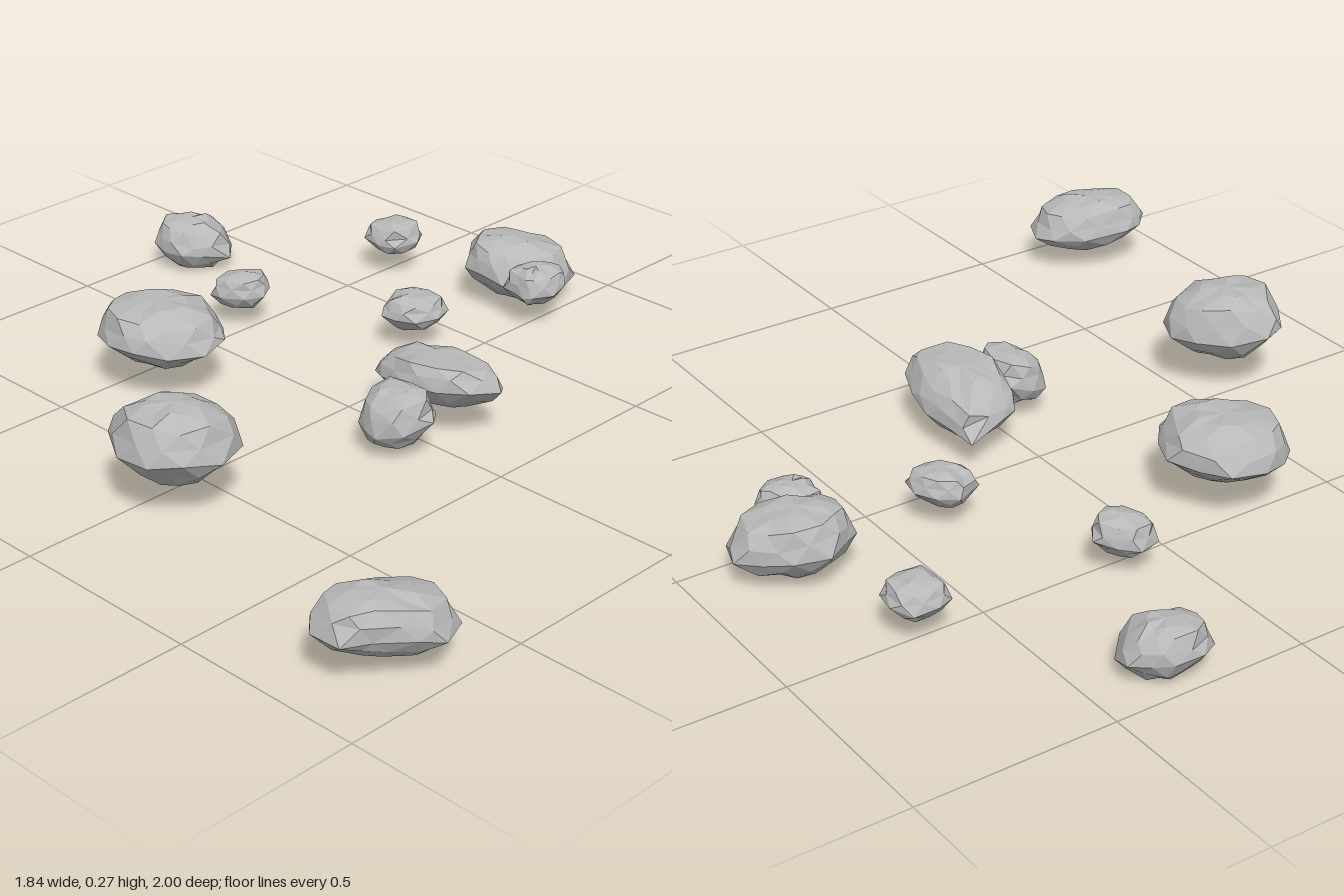
import * as THREE from 'three';

const stone = new THREE.MeshStandardMaterial({ color: 0xb8b8b8, flatShading: true });
stone.name = 'grey stone';

// Each layer: height fraction and width fraction of the rock; odd layers sit half a step round.
const LAYERS = [[0.05, 0.5], [0.22, 0.82], [0.43, 1], [0.64, 0.96], [0.84, 0.78], [0.97, 0.45]];

function seeded(seed) {
  let s = seed * 7919 + 17;
  return () => (s = (s * 16807) % 2147483647) / 2147483647;
}

// Faceted rock from its plan outline (x, z pairs, clockwise from above), height range and tilt.
function rock(name, seed, outline, low, high, tiltX = 0, tiltZ = 0) {
  const rnd = seeded(seed);
  for (let i = 0; i < 5; i++) rnd();
  const n = outline.length / 2;
  const pts = [];
  for (let i = 0; i < n; i++) pts.push(new THREE.Vector2(outline[2 * i], outline[2 * i + 1]));
  const mid = pts.reduce((a, p) => a.add(p), new THREE.Vector2()).divideScalar(n);

  const verts = [];
  LAYERS.forEach(([t, s], layer) => {
    for (let i = 0; i < n; i++) {
      const p = pts[i].clone();
      if (layer % 2) p.lerp(pts[(i + 1) % n], 0.35 + 0.3 * rnd());
      const k = s * (layer === 2 ? 1 : 0.95 + 0.1 * rnd());
      const d = p.sub(mid).multiplyScalar(k);
      const y = low + (high - low) * (t + (rnd() - 0.5) * 0.1) + tiltX * d.x + tiltZ * d.y;
      verts.push(mid.x + d.x, THREE.MathUtils.clamp(y, low, high), mid.y + d.y);
    }
  });
  verts.push(mid.x, low, mid.y, mid.x, high, mid.y);

  const index = [];
  const bottom = LAYERS.length * n, top = bottom + 1, last = bottom - n;
  for (let i = 0; i < n; i++) {
    const j = (i + 1) % n;
    for (let r = 0; r < LAYERS.length - 1; r++) {
      const a = r * n + i, b = r * n + j, c = a + n, d = b + n;
      if (r % 2) index.push(a, c, d, b, a, d);
      else index.push(b, a, c, b, c, d);
    }
    index.push(bottom, i, j, top, last + j, last + i);
  }
  const geo = new THREE.BufferGeometry();
  geo.setAttribute('position', new THREE.Float32BufferAttribute(verts, 3));
  geo.setIndex(index);
  const flat = geo.toNonIndexed();
  flat.computeVertexNormals();
  const mesh = new THREE.Mesh(flat, stone);
  mesh.name = name;
  return mesh;
}

export function createModel() {
  const group = new THREE.Group();
  group.name = 'scatteredRocks';
  group.add(
    // large boulders
    rock('backLeftBoulder', 1, [-0.36, -0.52, -0.31, -0.56, -0.25, -0.57, -0.16, -0.55, -0.12, -0.48,
      -0.085, -0.4, -0.12, -0.32, -0.17, -0.26, -0.25, -0.245, -0.33, -0.29, -0.38, -0.36, -0.39, -0.44], 0.08, 0.235),
    rock('sideBoulder', 2, [-0.71, -0.065, -0.65, -0.085, -0.56, -0.05, -0.5, 0.02, -0.475, 0.09,
      -0.51, 0.17, -0.61, 0.21, -0.7, 0.18, -0.755, 0.12, -0.765, 0.03], 0.085, 0.27, -0.06),
    rock('oppositeBoulder', 3, [0.64, -0.2, 0.68, -0.225, 0.74, -0.26, 0.82, -0.23, 0.87, -0.17,
      0.915, -0.12, 0.88, -0.02, 0.8, 0.01, 0.7, -0.02, 0.64, -0.07, 0.63, -0.13], 0.02, 0.185, -0.1, -0.1),
    // long tapering stones
    rock('longStone', 4, [0.03, 0.06, 0.08, 0.045, 0.18, 0.025, 0.187, 0.11, 0.2, 0.2, 0.19, 0.28,
      0.16, 0.36, 0.12, 0.39, 0.04, 0.36, 0, 0.29, -0.02, 0.2, 0, 0.11], 0.055, 0.195, -0.2, 0.13),
    rock('frontStone', 5, [-0.92, 0.8, -0.87, 0.75, -0.82, 0.74, -0.7, 0.77, -0.63, 0.83, -0.61, 0.89,
      -0.64, 0.96, -0.72, 0.995, -0.78, 0.97, -0.85, 0.91, -0.915, 0.88], 0.05, 0.195, -0.12),
    // medium stones
    rock('rearStone', 6, [0.22, -0.97, 0.27, -1, 0.34, -0.99, 0.38, -0.96, 0.415, -0.92, 0.405, -0.86,
      0.34, -0.795, 0.27, -0.83, 0.22, -0.86, 0.21, -0.92], 0, 0.137, -0.05, -0.15),
    rock('leaningStone', 7, [-0.14, 0.17, -0.09, 0.15, -0.03, 0.165, -0.01, 0.24, -0.02, 0.31,
      -0.06, 0.34, -0.13, 0.31, -0.165, 0.25, -0.16, 0.21], 0.03, 0.175, 0.25),
    // small pebbles
    rock('rearPebble', 8, [0.08, -0.59, 0.14, -0.605, 0.18, -0.57, 0.215, -0.52, 0.19, -0.48,
      0.15, -0.46, 0.1, -0.48, 0.07, -0.54], 0.05, 0.15, 0, 0.1),
    rock('sidePebble', 9, [0.605, -0.54, 0.65, -0.56, 0.71, -0.55, 0.74, -0.5, 0.73, -0.44,
      0.68, -0.41, 0.61, -0.43, 0.595, -0.48], 0.055, 0.15),
    rock('middlePebble', 10, [0.285, -0.165, 0.32, -0.18, 0.36, -0.2, 0.41, -0.17, 0.435, -0.12,
      0.425, -0.06, 0.37, -0.045, 0.31, -0.07, 0.29, -0.12], 0.055, 0.15, 0.05),
    rock('nestledPebble', 11, [0.635, -0.06, 0.68, -0.07, 0.74, -0.045, 0.76, 0, 0.775, 0.03,
      0.73, 0.07, 0.68, 0.075, 0.63, 0.045, 0.62, 0.02, 0.63, -0.02], 0.06, 0.16, 0.1)
  );
  return group;
}
